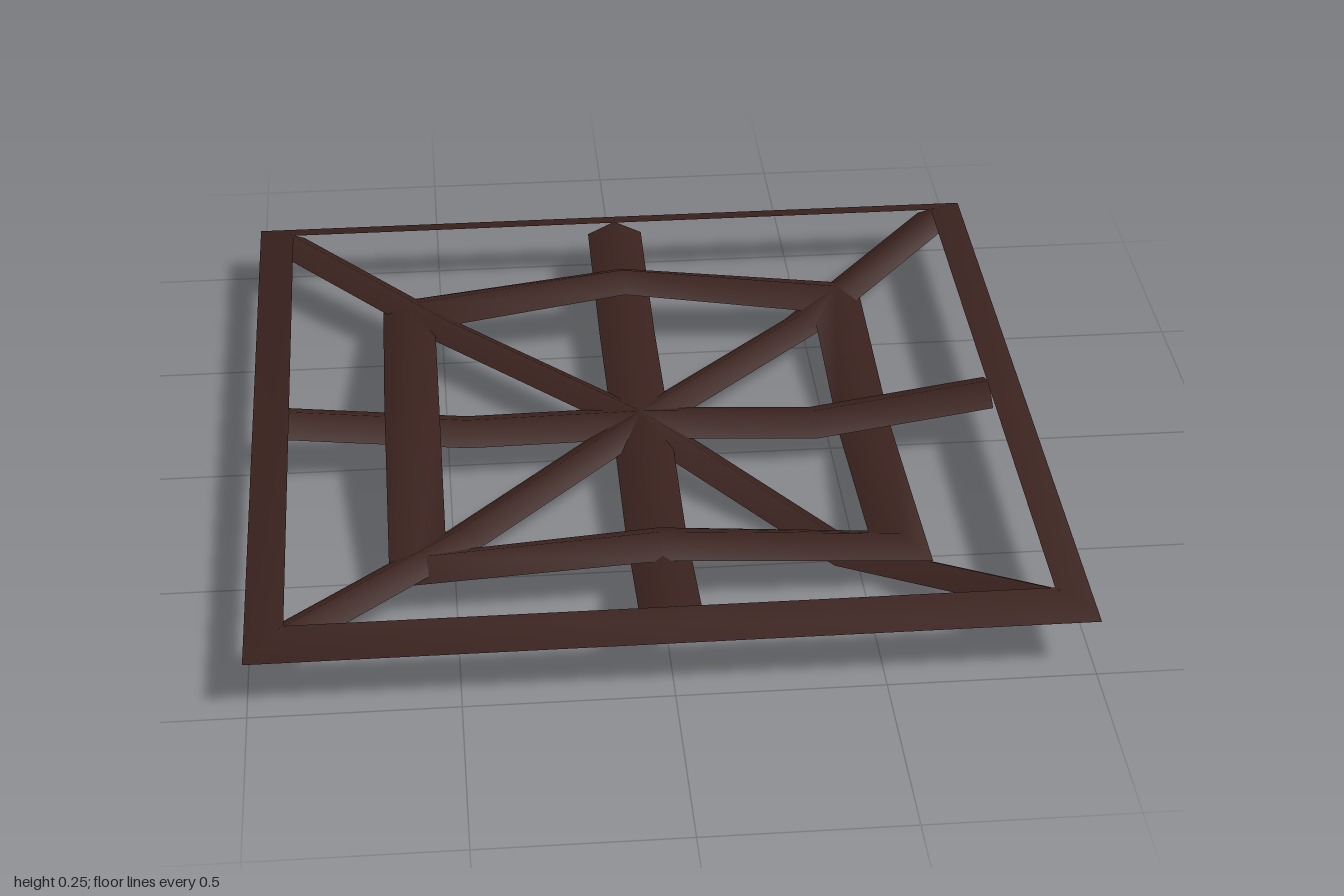
import * as THREE from 'three';

const DROP = 0.037; // height of a bar's ridge above its edges

const metal = new THREE.MeshStandardMaterial({ color: 0x3a221e, side: THREE.DoubleSide });

// Joins cross-sections (arrays of Vector3, all the same length) into a smooth sheet.
function loft(name, sections, closed = false) {
  const n = sections[0].length;
  const index = [];
  const spans = closed ? sections.length : sections.length - 1;
  for (let i = 0; i < spans; i++) {
    const j = (i + 1) % sections.length;
    for (let k = 0; k < n - 1; k++) {
      const a = i * n + k, b = j * n + k;
      index.push(a, b, a + 1, b, b + 1, a + 1);
    }
  }
  const geometry = new THREE.BufferGeometry().setFromPoints(sections.flat());
  geometry.setIndex(index);
  geometry.computeVertexNormals();
  const mesh = new THREE.Mesh(geometry, metal);
  mesh.name = name;
  return mesh;
}

// Roof-shaped open bar: a ridge with an edge sloping down on each side.
function spoke(name, dx, dz, reach, bendAt, bendY, halfWidth) {
  const length = Math.hypot(dx, dz);
  const sx = (-dz / length) * halfWidth, sz = (dx / length) * halfWidth;
  const stations = [[0, 0.145], [bendAt, bendY], [reach, 0.19]];
  return loft(name, stations.map(([t, y]) => [1, 0, -1].map((s) =>
    new THREE.Vector3(dx * t + s * sx, y - Math.abs(s) * DROP, dz * t + s * sz))));
}

export function createModel() {
  const group = new THREE.Group();
  group.name = 'squareLattice';
  const corners = [[1, 1], [1, -1], [-1, -1], [-1, 1]];

  // Outer frame, a band rising inward
  group.add(loft('outerFrame', corners.map(([x, z]) => [
    new THREE.Vector3(x, 0.155, z),
    new THREE.Vector3(x * 0.905, 0.19, z * 0.905),
  ]), true));

  // Inner square ring, each side bent at its middle
  const ringPath = [
    [1, 1, 0.14], [1, 0, 0.09], [1, -1, 0.14], [0, -1, 0.22],
    [-1, -1, 0.14], [-1, 0, 0.245], [-1, 1, 0.14], [0, 1, 0.18],
  ];
  group.add(loft('innerRing', ringPath.map(([x, z, y]) => [0.66, 0.59, 0.52].map((r) =>
    new THREE.Vector3(x * r, r === 0.59 ? y : y - DROP, z * r))), true));

  // Straight spokes
  const straight = [
    ['rightSideSpoke', 1, 0, 0.12], ['leftSideSpoke', -1, 0, 0.14],
    ['frontSpoke', 0, 1, 0.12], ['backSpoke', 0, -1, 0.14],
  ];
  for (const [name, x, z, y] of straight) group.add(spoke(name, x, z, 0.91, 0.45, y, 0.075));

  // Diagonal spokes, the front one dipping to the ground
  const diagonal = [
    ['frontDeepDiagonal', 1, 1, DROP], ['backDiagonal', 1, -1, 0.12],
    ['farBackDiagonal', -1, -1, 0.145], ['frontDiagonal', -1, 1, 0.14],
  ];
  for (const [name, x, z, y] of diagonal) group.add(spoke(name, x, z, 0.915, 0.48, y, 0.055));

  return group;
}
